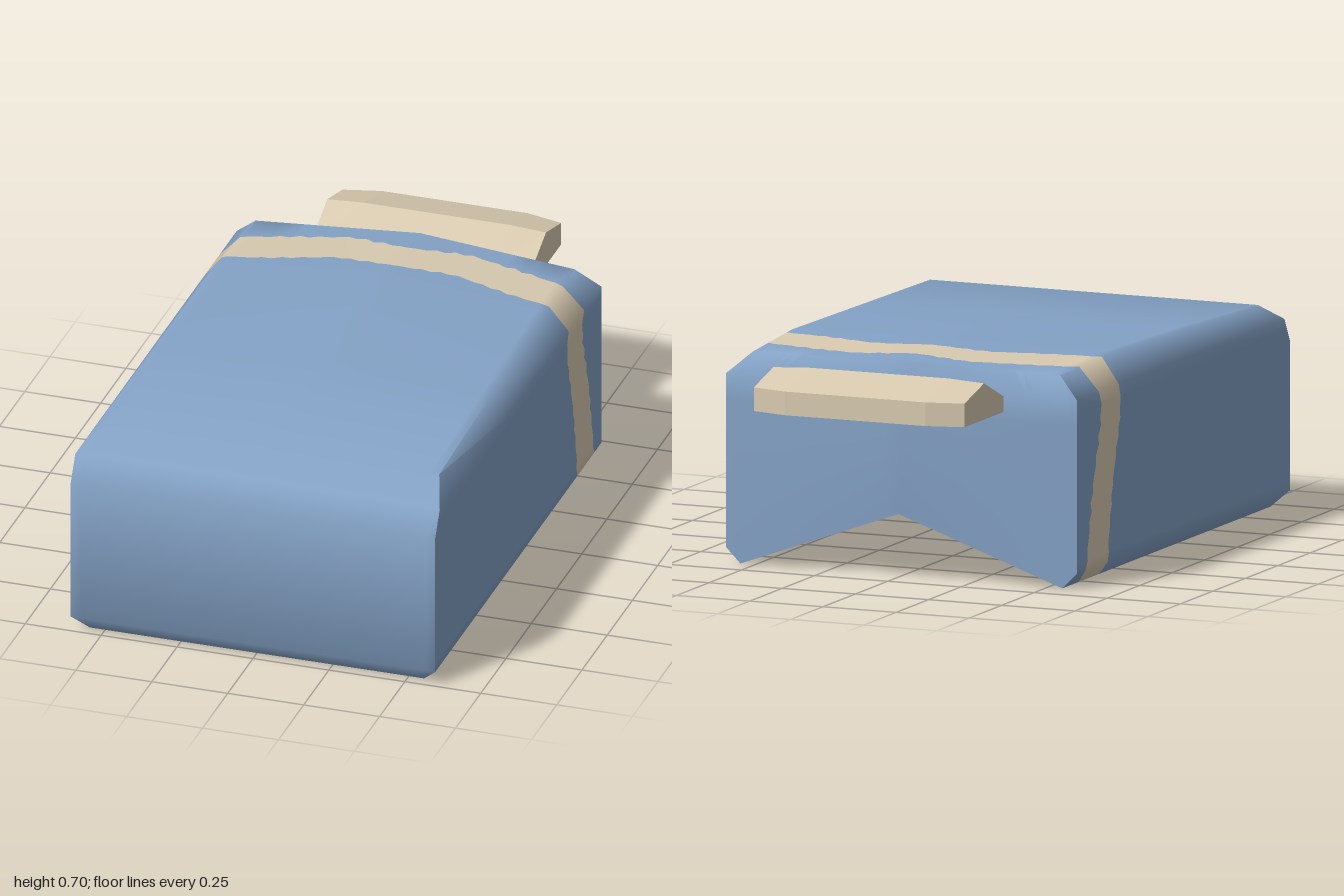
import * as THREE from 'three';
import { toCreasedNormals } from 'three/addons/utils/BufferGeometryUtils.js';

const lerp = THREE.MathUtils.lerp;
const mix = (a, b, t) => a.map((v, i) => lerp(v, b[i], t));

// piecewise linear lookup in rows of [key, ...values]
function lookup(table, key) {
  let i = 0;
  while (i < table.length - 2 && key > table[i + 1][0]) i++;
  const [a, b] = [table[i], table[i + 1]];
  return mix(a, b, (key - a[0]) / (b[0] - a[0])).slice(1);
}

function quad(out, a, b, c, d) {
  out.push(...a, ...b, ...c, ...a, ...c, ...d);
}

function geometryFrom(positions) {
  const g = new THREE.BufferGeometry();
  g.setAttribute('position', new THREE.Float32BufferAttribute(positions, 3));
  g.computeVertexNormals();
  return g;
}

// stripe edges: distance up the side and over the top, back z, front z
const STRIPE = [
  [0, -0.52, -0.36], [0.03, -0.57, -0.40], [0.1, -0.56, -0.40], [0.3, -0.52, -0.365],
  [0.5, -0.46, -0.31], [0.6, -0.465, -0.315], [0.7, -0.48, -0.32], [0.84, -0.52, -0.35],
  [1.04, -0.565, -0.41], [1.24, -0.535, -0.40],
];

// one lengthwise line of the cover, given by its back, ridge and front points
function coverLine(s, back, ridge, front, side) {
  const knots = [back, ridge, front].map(([x, y, z]) => [z, x * side, y, z]);
  const jag = 0.007 * Math.sin(s * 91) + 0.004 * Math.sin(s * 217);
  const [b, f] = lookup(STRIPE, s);
  return [back[2], b + jag, f + 0.7 * jag, -0.27, 0.3, front[2]].map((z) => lookup(knots, z));
}

// all lines of one side, from the bottom hem to the middle of the top
function halfCover(side) {
  const lines = [];
  const wall = (x, y, z) =>
    lines.push(coverLine(y, [x, y, -0.645], [x, y, -0.27], [x, y, z], side));
  wall(0.55, 0, 0.96);
  for (let i = 0; i <= 16; i++) wall(0.6, lerp(0.05, 0.52, i / 16), 1);
  wall(0.6, 0.56, 0.9775);
  wall(0.6, 0.6, 0.955);
  for (let i = 0; i <= TOP; i++) {
    const t = i / TOP;
    lines.push(coverLine(lerp(0.7, 1.24, t),
      mix([0.525, 0.668, -0.605], [0, 0.685, -0.655], t),
      mix([0.54, 0.683, -0.27], [0, 0.70, -0.27], t),
      mix([0.56, 0.66, 0.84], [0, 0.66, 0.84], t), side));
  }
  return lines;
}
const TOP = 18;

function coverGeometry() {
  const main = [], stripe = [];
  const grid = (cols, pick) => {
    for (let i = 0; i < cols.length - 1; i++)
      for (let j = 0; j < cols[i].length - 1; j++)
        quad(pick(j), cols[i][j], cols[i + 1][j], cols[i + 1][j + 1], cols[i][j + 1]);
  };

  // sides and top, with the stripe between rows 1 and 2
  const half = halfCover(1);
  grid([...half, ...halfCover(-1).reverse().slice(1)], (j) => (j === 1 ? stripe : main));

  // front drop and back drop, sharing their columns with the top
  const frontRows = [[0.56, 0.66, 0.84], [0.6, 0.6, 0.955], [0.6, 0.52, 1], [0.6, 0.05, 1], [0.55, 0, 0.96]];
  const backEdge = [[0.55, 0, -0.645], [0.6, 0.05, -0.645], [0.6, 0.52, -0.645], [0.6, 0.6, -0.645], [0.525, 0.668, -0.605]];
  const backMid = [[0, 0.2, -0.667], [0, 0.2, -0.667], [0, 0.52, -0.70], [0, 0.6, -0.69], [0, 0.685, -0.655]];
  const frontCols = [], backCols = [];
  for (let i = -TOP; i <= TOP; i++) {
    const u = -i / TOP, side = u < 0 ? -1 : 1;
    frontCols.push(frontRows.map(([x, y, z]) => [x * u, y, z]));
    backCols.push(backEdge.map((e, k) => {
      const [x, y, z] = mix(e, backMid[k], 1 - Math.abs(u));
      return [x * side, y, z];
    }));
  }
  grid(frontCols, () => main);
  grid(backCols, () => main);

  const g = geometryFrom(main.concat(stripe));
  g.addGroup(0, main.length / 3, 0);
  g.addGroup(main.length / 3, stripe.length / 3, 1);
  return toCreasedNormals(g, THREE.MathUtils.degToRad(56));
}

// wedge with a ridge and clipped back corners
function pillowGeometry() {
  const out = [];
  const sections = [[-0.36, 0.665, -0.97], [-0.24, 0.672, -1], [0.24, 0.672, -1], [0.36, 0.665, -0.97]]
    .map(([x, ridge, back]) => [
      [x, 0.55, -0.67], [x, 0.6, -0.67], [x, ridge, -0.82], [x, 0.625, back], [x, 0.55, back],
    ]);
  for (let i = 0; i < 3; i++)
    for (let k = 0; k < 5; k++) {
      const n = (k + 1) % 5;
      quad(out, sections[i][k], sections[i + 1][k], sections[i + 1][n], sections[i][n]);
    }
  const [l, r] = [sections[0], sections[3]];
  for (let k = 1; k < 4; k++) {
    out.push(...l[0], ...l[k], ...l[k + 1]);
    out.push(...r[0], ...r[k + 1], ...r[k]);
  }
  return geometryFrom(out);
}

export function createModel() {
  const blue = new THREE.MeshStandardMaterial({ color: 0x84a2c6, side: THREE.DoubleSide });
  blue.name = 'blue cloth';
  const cream = new THREE.MeshStandardMaterial({ color: 0xd8cab0, side: THREE.DoubleSide });
  cream.name = 'cream cloth';

  const group = new THREE.Group();
  group.name = 'bedding';

  const cover = new THREE.Mesh(coverGeometry(), [blue, cream]);
  cover.name = 'bedCover';
  const pillow = new THREE.Mesh(pillowGeometry(), cream);
  pillow.name = 'pillow';
  group.add(cover, pillow);
  return group;
}
